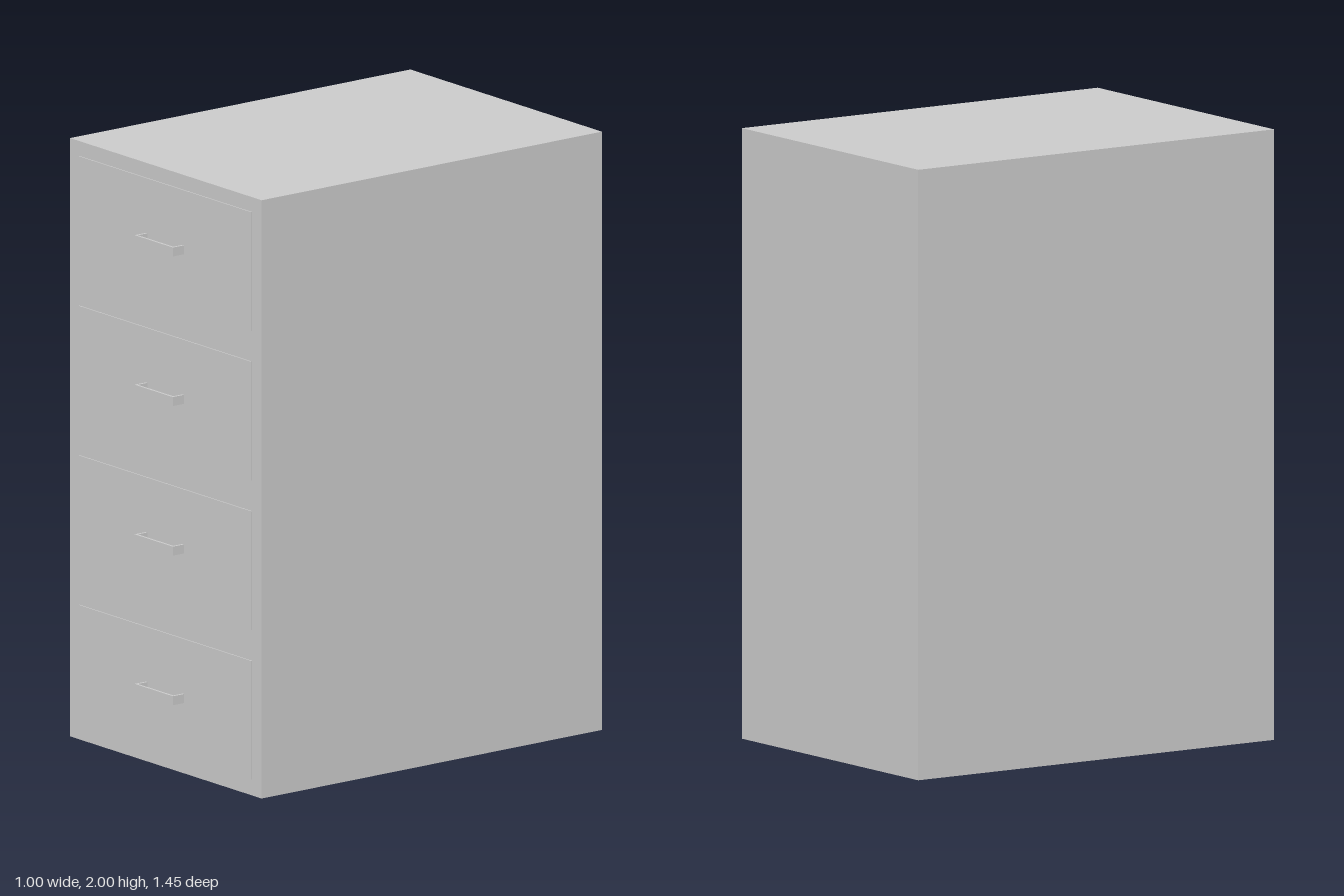
import * as THREE from 'three';

const material = new THREE.MeshStandardMaterial({ color: 0xcccccc, flatShading: true });

function addBox(parent, name, size, position) {
  const mesh = new THREE.Mesh(new THREE.BoxGeometry(...size), material);
  mesh.name = name;
  mesh.position.set(...position);
  parent.add(mesh);
}

export function createModel() {
  const model = new THREE.Group();
  model.name = 'filingCabinet';

  // Closed cabinet body
  const front = 0.675;
  addBox(model, 'cabinetBody', [1, 2, 1.4], [0, 1, front - 0.7]);

  // Four identical drawers, each a thin raised front with a U-shaped handle
  const raise = 0.004, bar = 0.008, handleHeight = 0.03, reach = 0.05;
  for (let i = 0; i < 4; i++) {
    const drawer = new THREE.Group();
    drawer.name = `drawer${i + 1}`;
    drawer.position.set(0, 0.252 + i * 0.5, front);
    addBox(drawer, 'drawerFront', [0.9, 0.397, raise], [0, 0, raise / 2]);

    const handle = new THREE.Group();
    handle.name = 'handle';
    addBox(handle, 'handleGrip', [0.2, handleHeight, bar], [0, 0, reach - bar / 2]);
    for (const side of [-1, 1]) {
      addBox(handle, side > 0 ? 'leftHandlePost' : 'rightHandlePost',
        [bar, handleHeight, reach - bar], [side * (0.1 - bar / 2), 0, (reach - bar) / 2]);
    }
    drawer.add(handle);
    model.add(drawer);
  }
  return model;
}
